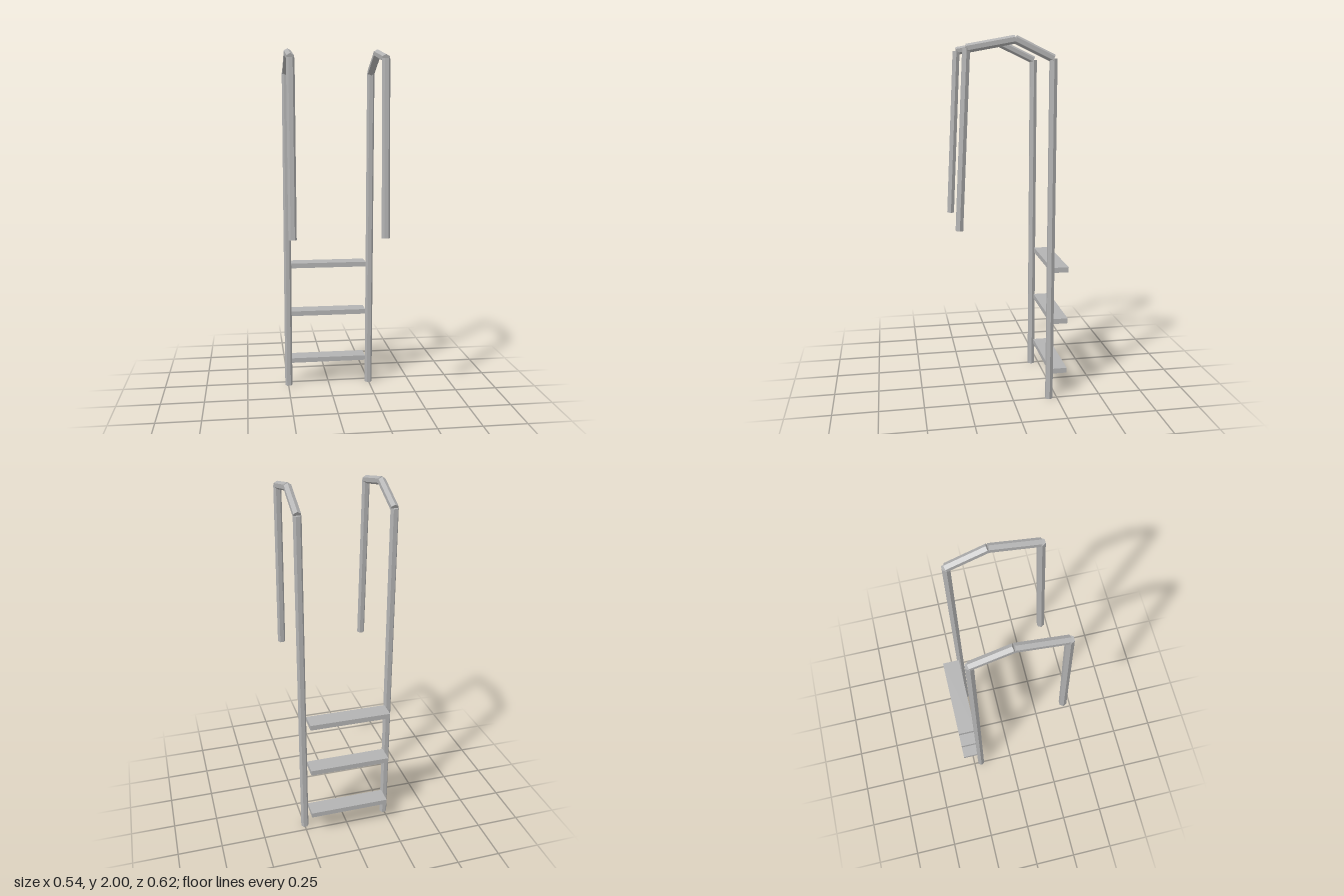
import * as THREE from 'three';

export function createModel() {
  const model = new THREE.Group();
  model.name = 'ladder';
  const steel = new THREE.MeshStandardMaterial({ color: 0xb3b3b3 });
  steel.name = 'grey steel';
  const radius = 0.022;

  // Hexagonal bar between two [y, z] points; turn spins the hexagon about its axis
  function bar(name, x, [y0, z0], [y1, z1], turn = 0) {
    const length = Math.hypot(y1 - y0, z1 - z0);
    const geometry = new THREE.CylinderGeometry(radius, radius, length, 6).toNonIndexed();
    geometry.rotateY(turn);
    geometry.computeVertexNormals(); // faceted sides
    const mesh = new THREE.Mesh(geometry, steel);
    mesh.name = name;
    mesh.position.set(x, (y0 + y1) / 2, (z0 + z1) / 2);
    mesh.rotation.x = Math.atan2(z1 - z0, y1 - y0);
    return mesh;
  }

  // Corner points of the bent handrail, as [y, z]
  const foot = [0, -0.205];
  const backTop = [1.884, -0.205];
  const apex = [1.978, -0.005];
  const frontTop = [1.932, 0.245];
  const handEnd = [0.996, 0.292];

  for (const side of [1, -1]) {
    const x = side * 0.248;
    const rail = new THREE.Group();
    rail.name = side > 0 ? 'leftRail' : 'rightRail';
    rail.add(
      bar('backPost', x, foot, backTop, Math.PI / 6),
      bar('backTopBar', x, backTop, apex),
      bar('frontTopBar', x, apex, frontTop),
      bar('frontHandrail', x, handEnd, frontTop, Math.PI / 6)
    );
    model.add(rail);
  }

  // Treads behind the posts
  const treadGeometry = new THREE.BoxGeometry(0.456, 0.029, 0.098);
  [0.15, 0.448, 0.746].forEach((y, i) => {
    const tread = new THREE.Mesh(treadGeometry, steel);
    tread.name = `tread${i + 1}`;
    tread.position.set(0, y, -0.264);
    model.add(tread);
  });

  return model;
}
